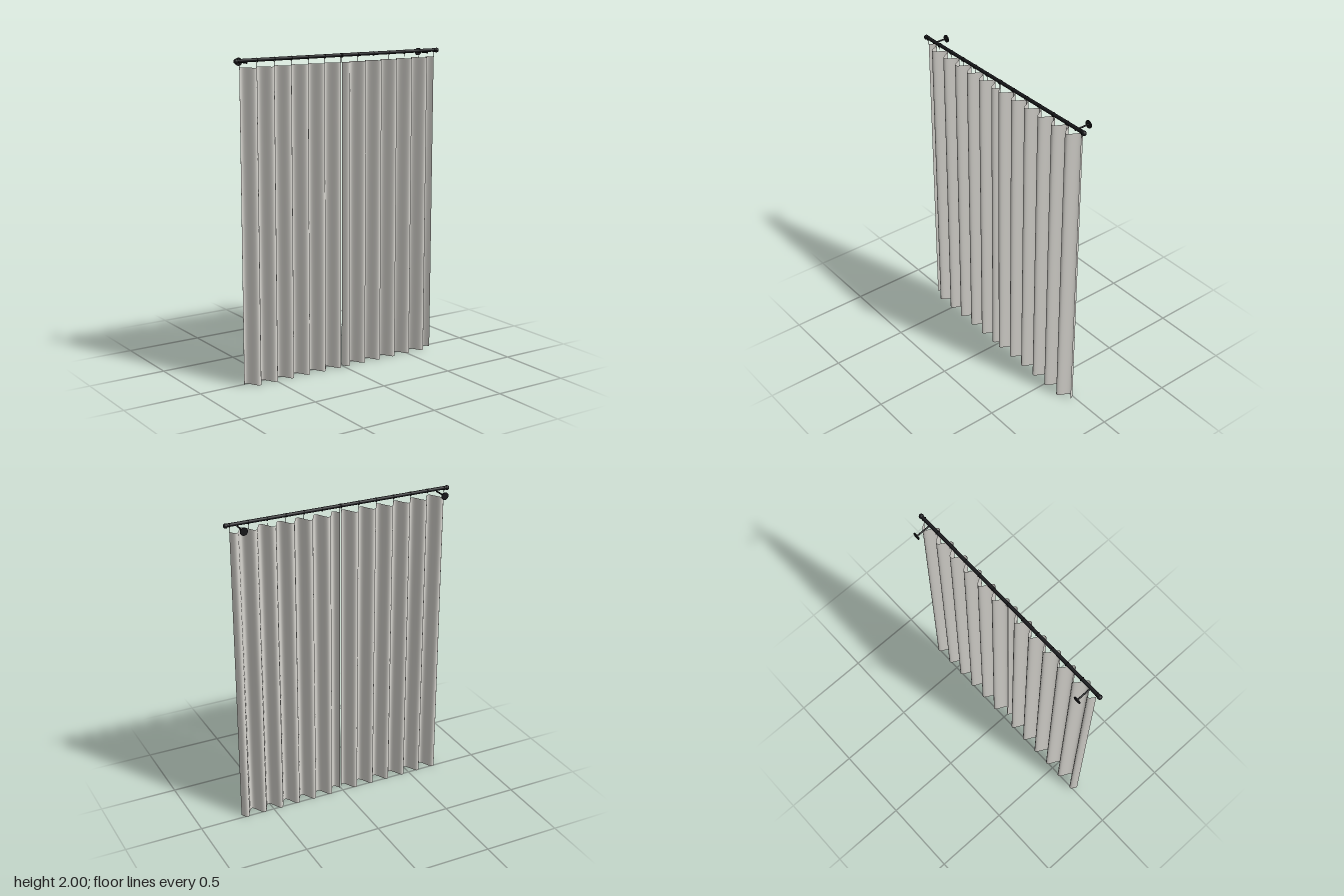
import * as THREE from 'three';

const OUTER = 0.714, INNER = 0.004, FOLDS = 6;
const WIDTH = OUTER - INNER, PERIOD = WIDTH / FOLDS;
const TOP = 1.945, ROD_Y = 1.987, ROD_Z = 0.031;

export function createModel() {
  const fabric = new THREE.MeshStandardMaterial({ color: 0xd8d6d0, side: THREE.DoubleSide });
  fabric.name = 'pale linen';
  const metal = new THREE.MeshStandardMaterial({ color: 0x17171a });
  metal.name = 'black metal';

  const model = new THREE.Group();
  model.name = 'curtains';
  const add = (parent, name, geometry, material, x = 0, y = 0, z = 0) => {
    const mesh = new THREE.Mesh(geometry, material);
    mesh.name = name;
    mesh.position.set(x, y, z);
    parent.add(mesh);
    return mesh;
  };

  // Pleated panel: a flat sheet pushed into sine folds, slightly fuller at the hem
  function panelGeometry(side) {
    const g = new THREE.PlaneGeometry(WIDTH, TOP, FOLDS * 20, 6);
    g.translate(side * (INNER + WIDTH / 2), TOP / 2, 0);
    const p = g.attributes.position;
    for (let i = 0; i < p.count; i++) {
      const u = OUTER - Math.abs(p.getX(i));
      const depth = 0.037 + 0.003 * (1 - p.getY(i) / TOP);
      p.setZ(i, ROD_Z - depth * Math.sin((u / PERIOD) * Math.PI * 2));
    }
    g.computeVertexNormals();
    return g;
  }

  // Rod along x
  const rod = new THREE.CylinderGeometry(0.011, 0.011, 1.47, 24).rotateZ(Math.PI / 2);
  add(model, 'rod', rod, metal, 0, ROD_Y, ROD_Z);

  const finial = new THREE.SphereGeometry(0.015, 24, 16);
  const arm = new THREE.CylinderGeometry(0.005, 0.005, 0.1, 12).rotateX(Math.PI / 2);
  const plate = new THREE.CylinderGeometry(0.024, 0.024, 0.005, 28).rotateX(Math.PI / 2);
  const ring = new THREE.TorusGeometry(0.0125, 0.0018, 8, 24).rotateY(Math.PI / 2);
  const wire = new THREE.CylinderGeometry(0.0013, 0.0013, 0.032, 6);

  for (const [side, label] of [[1, 'left'], [-1, 'right']]) {
    add(model, label + 'Panel', panelGeometry(side), fabric);
    add(model, label + 'Finial', finial, metal, side * 0.736, 1.985, ROD_Z);

    // Wall bracket: arm under the rod and a round plate behind
    const bracket = new THREE.Group();
    bracket.name = label + 'Bracket';
    bracket.position.set(side * 0.664, 1.972, 0);
    add(bracket, 'bracketArm', arm, metal, 0, 0, ROD_Z - 0.05);
    add(bracket, 'wallPlate', plate, metal, 0, 0, -0.0685);
    model.add(bracket);

    // Rings with short hooks, one at every fold
    for (let i = 0; i <= FOLDS; i++) {
      const hanger = new THREE.Group();
      hanger.name = label + 'Hanger';
      hanger.position.set(side * (OUTER - i * PERIOD), 0, ROD_Z);
      add(hanger, 'ring', ring, metal, 0, ROD_Y - 0.0015, 0);
      add(hanger, 'hook', wire, metal, 0, TOP + 0.014, 0);
      model.add(hanger);
    }
  }
  return model;
}
